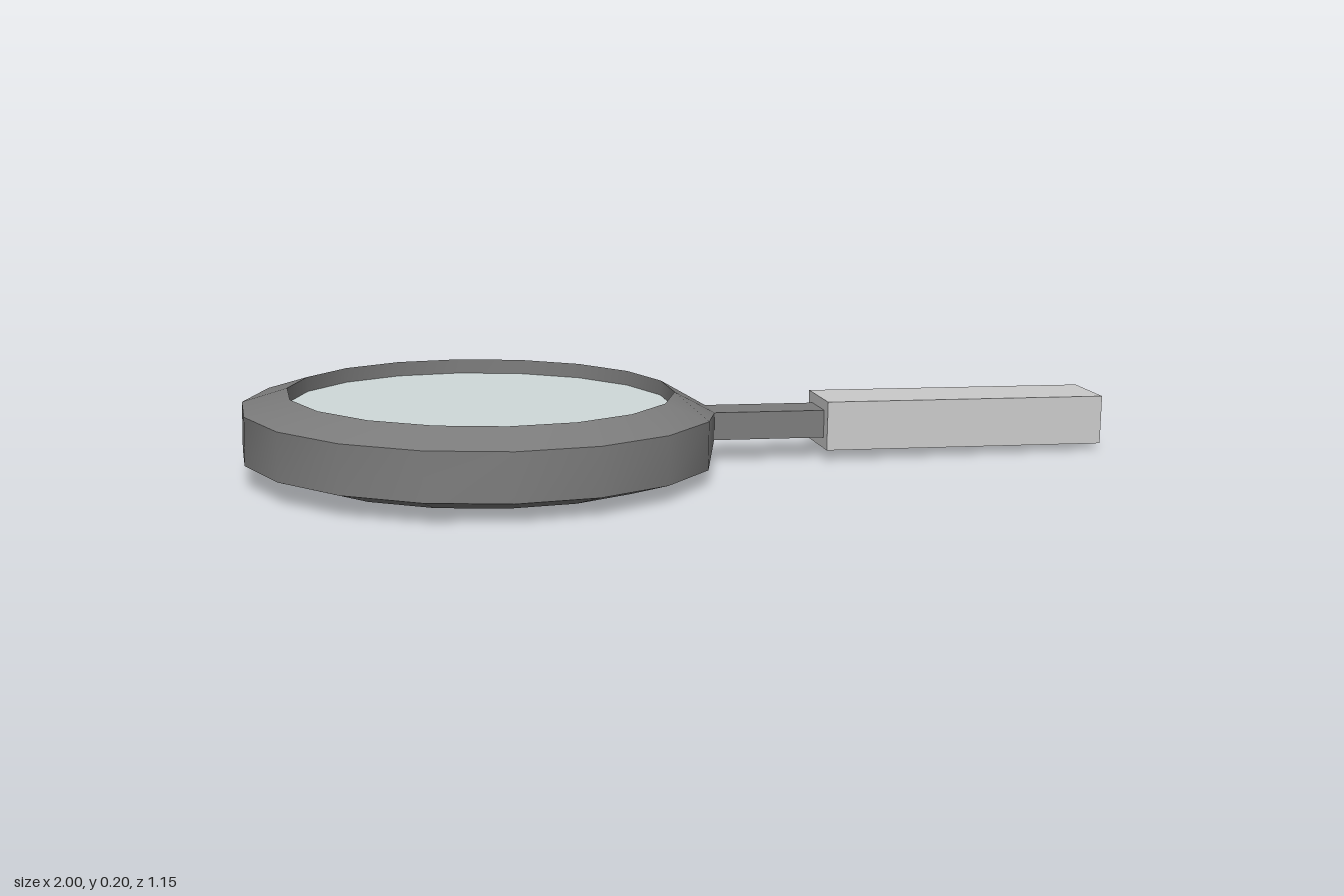
import * as THREE from 'three';
import { toCreasedNormals } from 'three/addons/utils/BufferGeometryUtils.js';

const SIDES = 18;
const OUTER = 0.556, INNER = 0.451;

// Faceted ring with a bevelled cross-section; the facet facing +x shrinks to meet the neck
function ringGeometry() {
  const positions = [], index = [];
  for (let k = 0; k < SIDES; k++) {
    const a = ((k + 0.5) / SIDES) * Math.PI * 2;
    const c = Math.cos(a), s = Math.sin(a);
    const atNeck = k === 0 || k === SIDES - 1;
    const ox = OUTER * c;
    const oz = atNeck ? Math.sign(s) * 0.0515 : OUTER * s;
    const oh = atNeck ? 0.033 : 0.056;
    positions.push(
      INNER * c, -0.09, INNER * s,
      ox, -oh, oz,
      ox, oh, oz,
      INNER * c, 0.09, INNER * s
    );
    const next = (k + 1) % SIDES;
    for (let p = 0; p < 4; p++) {
      const q = (p + 1) % 4;
      const A = k * 4 + p, B = k * 4 + q, C = next * 4 + p, D = next * 4 + q;
      index.push(A, B, C, B, D, C);
    }
  }
  const geometry = new THREE.BufferGeometry();
  geometry.setAttribute('position', new THREE.Float32BufferAttribute(positions, 3));
  geometry.setIndex(index);
  return toCreasedNormals(geometry, THREE.MathUtils.degToRad(30));
}

export function createModel() {
  const model = new THREE.Group();
  model.name = 'magnifyingGlass';

  const frameMaterial = new THREE.MeshStandardMaterial({ color: 0x7c7c7c });
  const handleMaterial = new THREE.MeshStandardMaterial({ color: 0xcccccc });
  const glassMaterial = new THREE.MeshStandardMaterial({ color: 0xd0dada });

  // Everything is laid out along +x, then turned and tilted slightly
  const body = new THREE.Group();
  body.name = 'body';
  body.position.set(-0.45, 0.1, -0.021);
  body.rotation.set(0, THREE.MathUtils.degToRad(-20), -0.0178, 'ZYX');
  model.add(body);

  function add(name, geometry, material, x = 0) {
    const mesh = new THREE.Mesh(geometry, material);
    mesh.name = name;
    mesh.position.x = x;
    body.add(mesh);
  }

  add('lensRing', ringGeometry(), frameMaterial);
  add('lens', new THREE.CylinderGeometry(INNER - 0.001, INNER - 0.001, 0.11, SIDES), glassMaterial);

  // Neck and handle
  add('neck', new THREE.BoxGeometry(0.28, 0.066, 0.103), frameMaterial, 0.687);
  add('handle', new THREE.BoxGeometry(0.693, 0.117, 0.166), handleMaterial, 1.163);

  return model;
}
